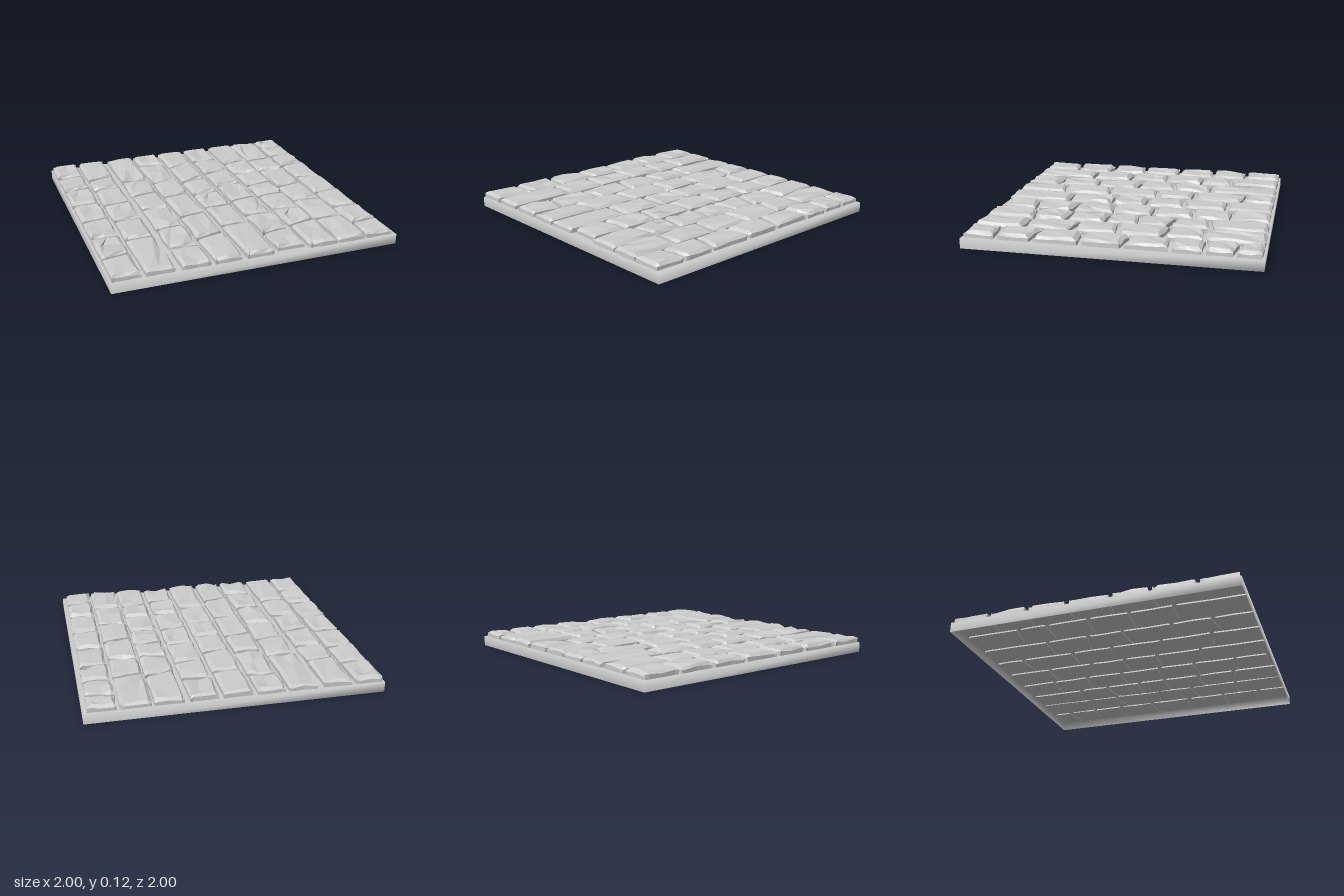
import * as THREE from 'three';

const SLAB_TOP = 0.07, STONE_BOTTOM = 0.06, STONE_TOP = 0.113;

// Stone columns: x range, then the joints between stones as [z, tilt across the column]
const A = [[-0.72, 0], [-0.45, -0.02], [-0.16, 0], [0.13, -0.03], [0.42, 0.02], [0.71, -0.03]];
const COLUMNS = [
  { x: [-0.99, -0.8], joints: A },
  { x: [-0.775, -0.58], joints: [[-0.62, -0.03], [-0.39, 0], [-0.1, -0.02], [0.2, 0], [0.51, 0]] },
  { x: [-0.535, -0.34], joints: [[-0.49, 0], [-0.2, -0.04], [0.085, 0.03], [0.415, -0.02], [0.73, 0.03]] },
  { x: [-0.315, -0.125], joints: [[-0.765, 0.03], [-0.385, 0], [-0.1, -0.03], [0.27, -0.03], [0.63, -0.05]] },
  { x: [-0.095, 0.1], joints: [[-0.66, 0], [-0.34, -0.03], [-0.065, 0], [0.19, 0], [0.52, 0]] },
  { x: [0.13, 0.32], joints: A },
  { x: [0.355, 0.55], joints: [[-0.6, -0.04], [-0.335, 0.04], [-0.1, -0.02], [0.125, 0], [0.4, 0.03], [0.65, -0.04]] },
  { x: [0.565, 0.765], joints: [[-0.59, -0.02], [-0.33, 0.03], [0, -0.03], [0.3, 0.03], [0.64, 0]] },
  { x: [0.785, 0.97], joints: [[-0.83, 0.03], [-0.62, 0], [-0.395, -0.02], [-0.105, 0.03], [0.2, -0.02], [0.505, 0.03], [0.77, -0.02]] },
];

// Repeatable noise in -1..1
function noise(a, b, seed) {
  const s = Math.sin(a * 12.99 + b * 78.23 + seed * 37.72) * 43758.55;
  return (s - Math.floor(s)) * 2 - 1;
}

// One hewn stone between two tilted joints, with a chamfered, uneven top
function stoneGeometry([x0, x1], [za, ta], [zb, tb], seed) {
  const N = 4, gap = 0.014, bevel = 0.022;
  const box = new THREE.BoxGeometry(1, 1, 1, N, 1, N);
  const p = box.attributes.position;
  // Grid line to distance along an edge: bevel, middle, bevel
  const place = (i, len) => [0, bevel, len * 0.5, len - bevel, len][i];
  for (let k = 0; k < p.count; k++) {
    const i = Math.round((p.getX(k) + 0.5) * N);
    const j = Math.round((p.getZ(k) + 0.5) * N);
    const upper = p.getY(k) > 0;
    const rim = i === 0 || j === 0 || i === N || j === N;
    const centre = i === 2 && j === 2;
    const n = noise(i, j, seed), m = noise(j + 9, i, seed);
    let x = x0 + place(i, x1 - x0);
    const u = (x - x0) / (x1 - x0) - 0.5;
    const start = za + ta * u + gap, end = zb + tb * u - gap;
    let z = start + place(j, end - start);
    let y = upper ? STONE_TOP + 0.005 * n : STONE_BOTTOM;
    if (upper && rim) y = 0.096 + 0.007 * n;
    else if (upper && n < -0.75) y = 0.1; // chipped spot
    if (upper && !rim) {
      x += (centre ? 0.04 : 0.008) * m;
      z += (centre ? 0.05 : 0.009) * n;
    } else if (rim) {
      // Slightly wavy outline
      x += 0.005 * m;
      z += 0.004 * n;
    }
    p.setXYZ(k, THREE.MathUtils.clamp(x, -1, 1), y, THREE.MathUtils.clamp(z, -0.99, 0.99));
  }
  const geo = box.toNonIndexed();
  geo.computeVertexNormals();
  return geo;
}

// Hollow slab, open underneath, with normals blended over its edges
function slabGeometry() {
  const corners = [[-1, 1], [1, 1], [1, -1], [-1, -1]];
  const points = [], index = [];
  for (const y of [0, SLAB_TOP]) for (const [x, z] of corners) points.push(x, y, z);
  for (let i = 0; i < 4; i++) {
    const j = (i + 1) % 4;
    index.push(i, j, j + 4, i, j + 4, i + 4);
  }
  index.push(4, 5, 6, 4, 6, 7);
  const geo = new THREE.BufferGeometry();
  geo.setAttribute('position', new THREE.Float32BufferAttribute(points, 3));
  geo.setIndex(index);
  geo.computeVertexNormals();
  return geo;
}

export function createModel() {
  const model = new THREE.Group();
  model.name = 'cobbledFloorTile';

  const slab = new THREE.Mesh(slabGeometry(),
    new THREE.MeshStandardMaterial({ color: 0xcccccc, side: THREE.DoubleSide }));
  slab.name = 'slab';
  model.add(slab);

  const stoneMaterial = new THREE.MeshStandardMaterial({ color: 0xcccccc, flatShading: true });
  COLUMNS.forEach(({ x, joints }, c) => {
    const column = new THREE.Group();
    column.name = 'stoneColumn' + (c + 1);
    const ends = [[-1, 0], ...joints, [c === 5 ? 0.97 : 1, 0]];
    for (let s = 0; s < ends.length - 1; s++) {
      const stone = new THREE.Mesh(stoneGeometry(x, ends[s], ends[s + 1], c * 10 + s + 1), stoneMaterial);
      stone.name = 'stone' + (s + 1);
      column.add(stone);
    }
    model.add(column);
  });
  return model;
}
